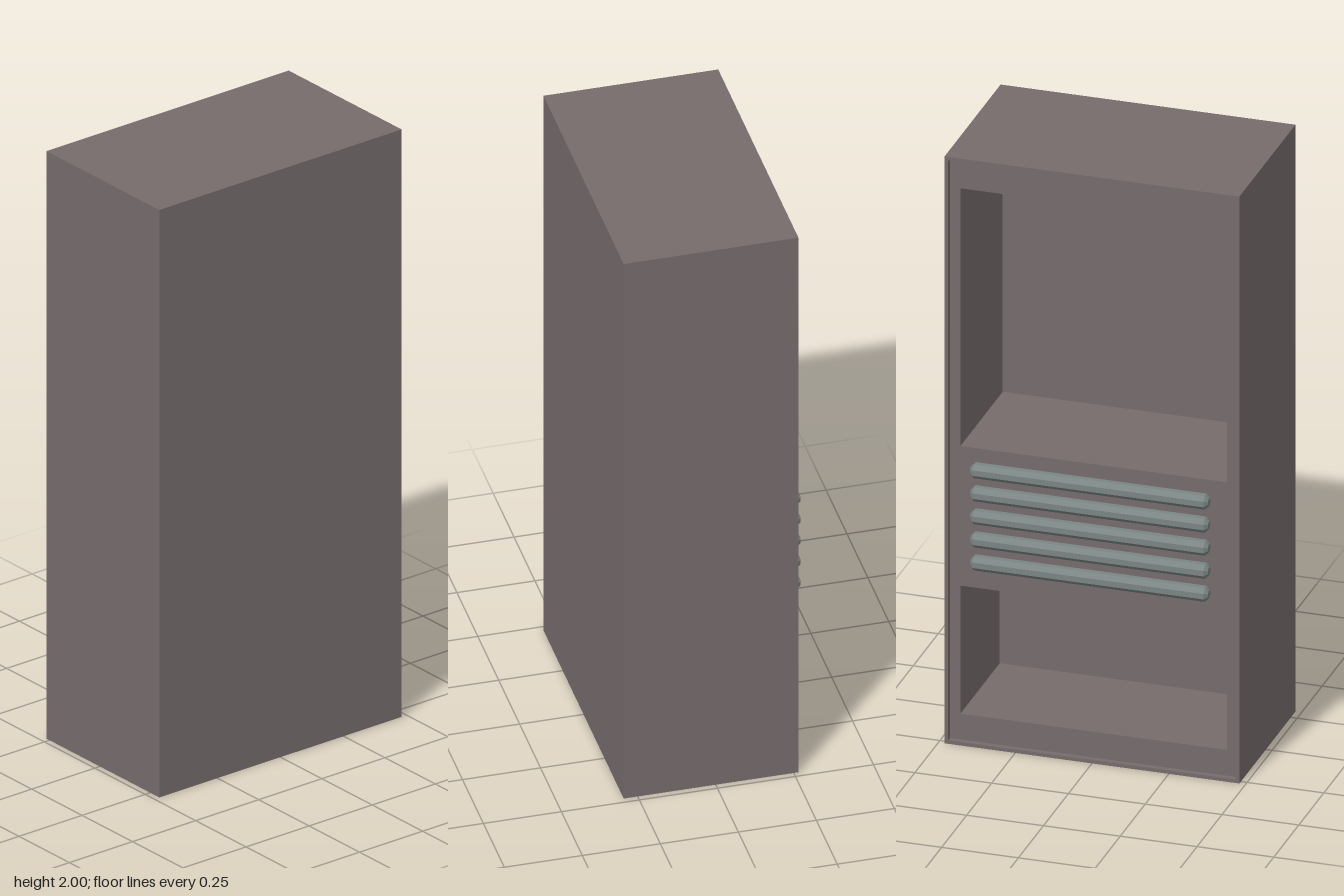
import * as THREE from 'three';

const bodyMat = new THREE.MeshStandardMaterial({ color: 0x766c6c, flatShading: true });
const railMat = new THREE.MeshStandardMaterial({ color: 0x7a8583, flatShading: true });

// Rectangle outline: half width across z, lower and upper y
function trace(path, half, y0, y1) {
  path.moveTo(-half, y0);
  path.lineTo(half, y0);
  path.lineTo(half, y1);
  path.lineTo(-half, y1);
  path.closePath();
  return path;
}

// Slab facing -x with rectangular holes, running from x0 to x1
function slab(name, outline, holes, x0, x1) {
  const shape = trace(new THREE.Shape(), ...outline);
  for (const hole of holes) shape.holes.push(trace(new THREE.Path(), ...hole));
  const geometry = new THREE.ExtrudeGeometry(shape, { depth: x1 - x0, bevelEnabled: false });
  geometry.rotateY(Math.PI / 2).translate(x0, 0, 0);
  const mesh = new THREE.Mesh(geometry, bodyMat);
  mesh.name = name;
  return mesh;
}

// Bar along z with an octagonal section and chamfered ends
function rail(length, size, chamfer) {
  const h = size / 2 - chamfer;
  const c = chamfer * 0.7;
  const shape = new THREE.Shape([
    [h, -h + c], [h, h - c], [h - c, h], [-h + c, h],
    [-h, h - c], [-h, -h + c], [-h + c, -h], [h - c, -h],
  ].map(([x, y]) => new THREE.Vector2(x, y)));
  const geometry = new THREE.ExtrudeGeometry(shape, {
    depth: length - 2 * chamfer, bevelSize: chamfer, bevelThickness: chamfer, bevelSegments: 1,
  });
  return geometry.translate(0, 0, chamfer - length / 2);
}

export function createModel() {
  const group = new THREE.Group();
  group.name = 'cabinet';

  const outer = [0.48, 0, 2];
  const inner = [0.468, 0.012, 1.988];
  const upperNiche = [0.434, 1.012, 1.89];
  const lowerNiche = [0.434, 0.1, 0.536];

  // Outer case with a thin raised rim, closed at the far side
  group.add(slab('case', outer, [inner], -0.265, 0.27));
  group.add(slab('backBoard', outer, [], 0.27, 0.295));

  // Recessed face panel with two niches, the upper one deeper
  group.add(slab('facePanel', inner, [upperNiche, lowerNiche], -0.247, 0.145));
  group.add(slab('lowerNicheBack', inner, [upperNiche], 0.145, 0.175));
  group.add(slab('upperNicheBack', inner, [], 0.175, 0.2));

  // Row of horizontal rails between the niches
  const railGeometry = rail(0.774, 0.047, 0.011);
  for (let i = 0; i < 5; i++) {
    const bar = new THREE.Mesh(railGeometry, railMat);
    bar.name = `rail${i + 1}`;
    bar.position.set(-0.2755, 0.636 + i * 0.0785, -0.002);
    group.add(bar);
  }
  return group;
}
